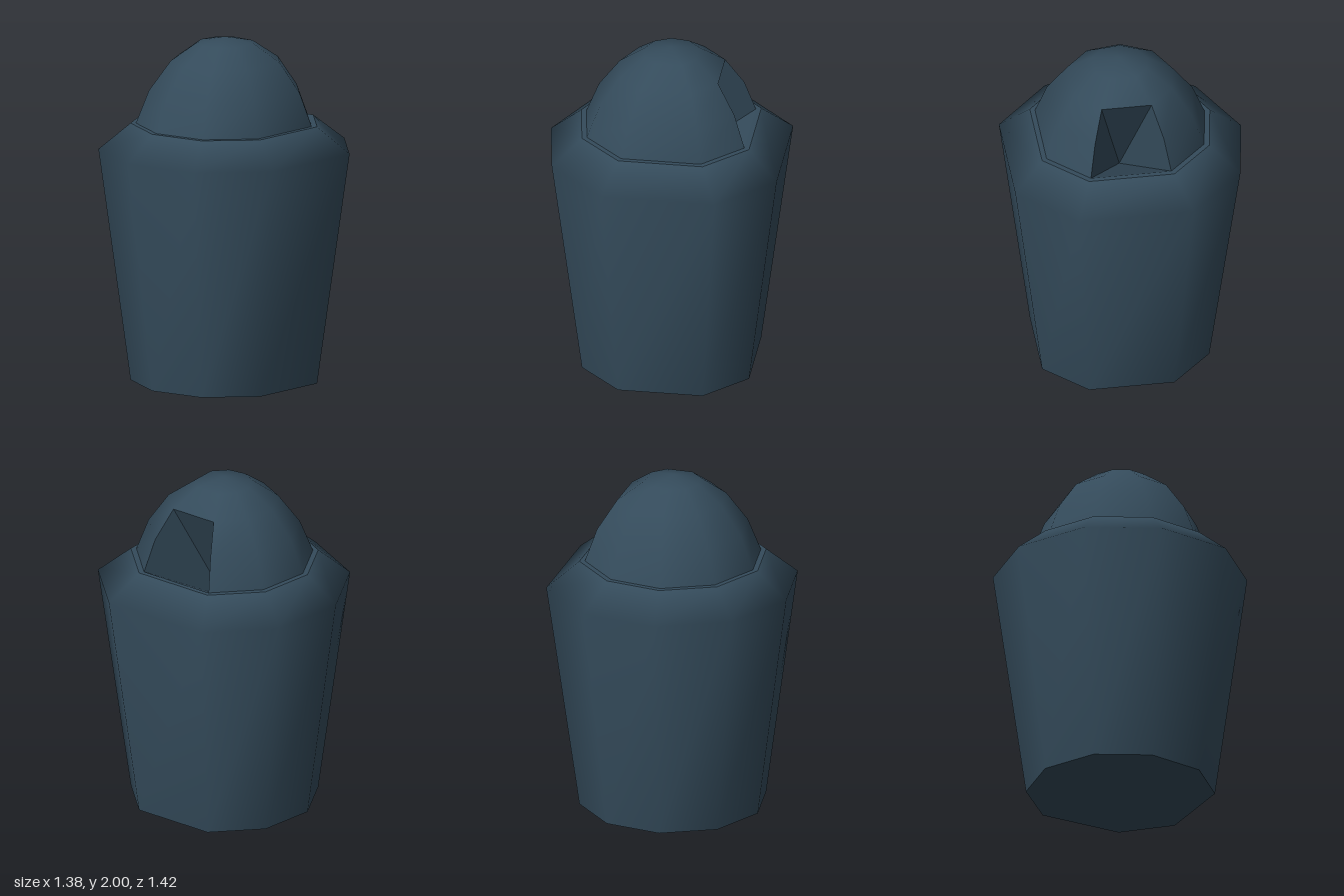
import * as THREE from 'three';

// Irregular nine-sided outline (x, z), listed from the front towards +x
const OUTLINE = [
  [0, 0.707], [0.43, 0.57], [0.69, 0.2], [0.59, -0.45], [0.225, -0.712],
  [-0.43, -0.61], [-0.695, -0.245], [-0.695, 0.202], [-0.43, 0.57],
];
const N = OUTLINE.length;
const NOTCH = 4; // outline segment with the opening in the dome

// Rings: [scale, y, z offset]
const BODY = [[0.743, 0, 0], [1, 1.35, 0], [0.743, 1.5, 0]];
const RIM = [[0.743, 1.5, 0], [0.7, 1.5, 0]];
const DOME = [[0.7, 1.5, 0], [0.6, 1.69, -0.005], [0.435, 1.86, -0.013], [0.228, 1.965, -0.013], [0, 2, -0.013]];

const ringPoint = ([s, y, dz], i) => [OUTLINE[i % N][0] * s, y, OUTLINE[i % N][1] * s + dz];

function geometryFrom(positions, index) {
  const g = new THREE.BufferGeometry();
  g.setAttribute('position', new THREE.Float32BufferAttribute(positions.flat(), 3));
  if (index) g.setIndex(index);
  g.computeVertexNormals();
  return g;
}

// Smooth skin through the rings; a ring of scale 0 becomes one apex vertex
function loft(rings, skip = () => false) {
  const positions = [], index = [];
  rings.forEach((r) => {
    for (let i = 0; i < (r[0] === 0 ? 1 : N); i++) positions.push(ringPoint(r, i));
  });
  for (let k = 0; k < rings.length - 1; k++) {
    for (let i = 0; i < N; i++) {
      if (skip(k, i)) continue;
      const j = (i + 1) % N, a = k * N, b = a + N;
      if (rings[k + 1][0] === 0) index.push(a + i, a + j, b);
      else index.push(a + i, a + j, b + j, a + i, b + j, b + i);
    }
  }
  return geometryFrom(positions, index);
}

export function createModel() {
  const group = new THREE.Group();
  const slate = new THREE.MeshStandardMaterial({ color: 0x344b5b });
  slate.name = 'slateBlue';
  const slateInside = new THREE.MeshStandardMaterial({ color: 0x344b5b, side: THREE.DoubleSide });
  slateInside.name = 'slateBlueInside';

  const add = (name, geometry, material = slate) => {
    const mesh = new THREE.Mesh(geometry, material);
    mesh.name = name;
    group.add(mesh);
  };

  // Tapered body with its sloping shoulder, and the flat ledge on top
  add('body', loft(BODY));
  add('rim', loft(RIM));

  // Flat underside
  const base = [];
  for (let i = 0; i < N; i++) base.push([0, 0, 0], ringPoint(BODY[0], i + 1), ringPoint(BODY[0], i));
  add('base', geometryFrom(base));

  // Dome with an opening at the back
  add('dome', loft(DOME, (k, i) => i === NOTCH && k < 2));

  // Faceted recess inside the opening, narrowing to a point on the axis
  const tip = [0, 1.24, -0.015];
  const [a0, a1, a2] = [0, 1, 2].map((k) => ringPoint(DOME[k], NOTCH));
  const [b0, b1, b2] = [0, 1, 2].map((k) => ringPoint(DOME[k], NOTCH + 1));
  add('recess', geometryFrom([
    a0, tip, a1, a1, tip, a2, // wall on the left
    b0, b1, tip, b1, b2, tip, // wall on the right
    a2, tip, b2, // ceiling
    a0, b0, tip, // floor
  ]), slateInside);

  return group;
}
